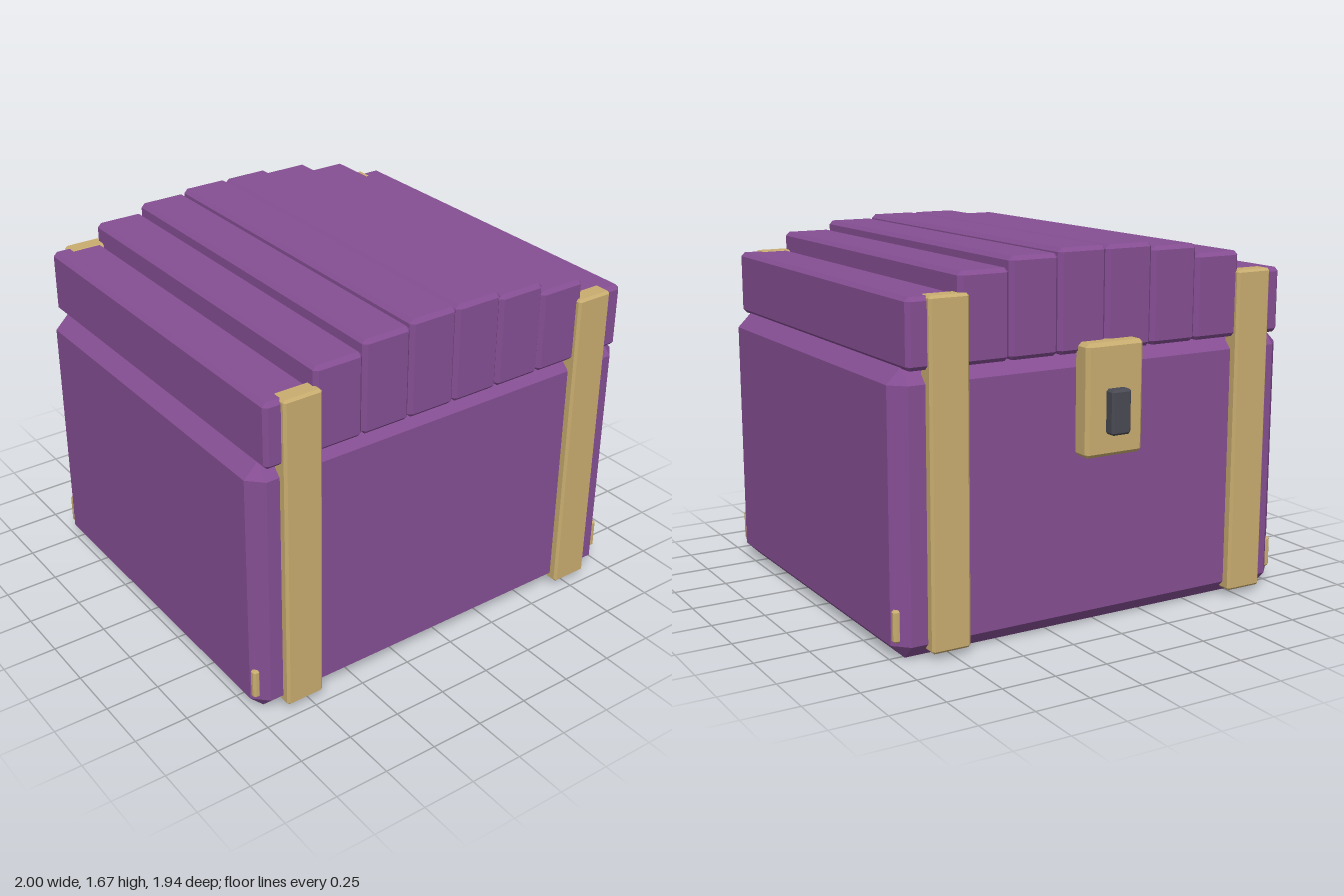
import * as THREE from 'three';
import { ConvexGeometry } from 'three/addons/geometries/ConvexGeometry.js';

const material = (name, color) => {
  const m = new THREE.MeshStandardMaterial({ color });
  m.name = name;
  return m;
};

// Box given by its limits, with every edge cut at 45 degrees by the bevel b
function chamferBox(name, mat, [x0, x1], [y0, y1], [z0, z1], b) {
  const half = [(x1 - x0) / 2, (y1 - y0) / 2, (z1 - z0) / 2];
  const points = [];
  for (const sx of [-1, 1]) for (const sy of [-1, 1]) for (const sz of [-1, 1])
    for (let axis = 0; axis < 3; axis++) {
      const p = half.map((h, i) => (i === axis ? h : h - b));
      points.push(new THREE.Vector3(sx * p[0], sy * p[1], sz * p[2]));
    }
  const mesh = new THREE.Mesh(new ConvexGeometry(points), mat);
  mesh.position.set((x0 + x1) / 2, (y0 + y1) / 2, (z0 + z1) / 2);
  mesh.name = name;
  return mesh;
}

export function createModel() {
  const purple = material('purple wood', 0x854e93);
  const brass = material('brass', 0xc9ad70);
  const iron = material('dark iron', 0x4a4a54);
  const chest = new THREE.Group();
  chest.name = 'chest';

  // Body
  chest.add(chamferBox('body', purple, [-1, 1], [0, 1.23], [-0.83, 0.93], 0.065));

  // Lid: eight planks stepping up to the middle
  const lid = new THREE.Group();
  lid.name = 'lid';
  const tops = [1.675, 1.655, 1.61, 1.522];
  const width = 0.237;
  tops.forEach((top, i) => {
    for (const side of [-1, 1]) {
      const x = side * (i + 0.5) * width;
      lid.add(chamferBox('lidPlank', purple,
        [x - width / 2, x + width / 2], [1.225, top], [-0.85, 0.945], 0.018));
    }
  });
  chest.add(lid);

  // Upright straps, front and back
  for (const x of [[-0.873, -0.69], [0.675, 0.858]])
    for (const z of [[0.88, 0.97], [-0.873, -0.783]])
      chest.add(chamferBox('strap', brass, x, [0.03, 1.525], z, 0.011));

  // Small brackets on the lower corners
  for (const x of [[-0.998, -0.963], [0.963, 0.998]])
    for (const z of [[0.863, 0.898], [-0.798, -0.763]])
      chest.add(chamferBox('cornerBracket', brass, x, [0.08, 0.225], z, 0.01));

  // Lock on the back
  chest.add(chamferBox('lockPlate', brass, [-0.148, 0.143], [0.78, 1.275], [-0.923, -0.82], 0.016));
  chest.add(chamferBox('lockKeyhole', iron, [-0.052, 0.045], [0.88, 1.077], [-0.973, -0.9], 0.01));

  return chest;
}
